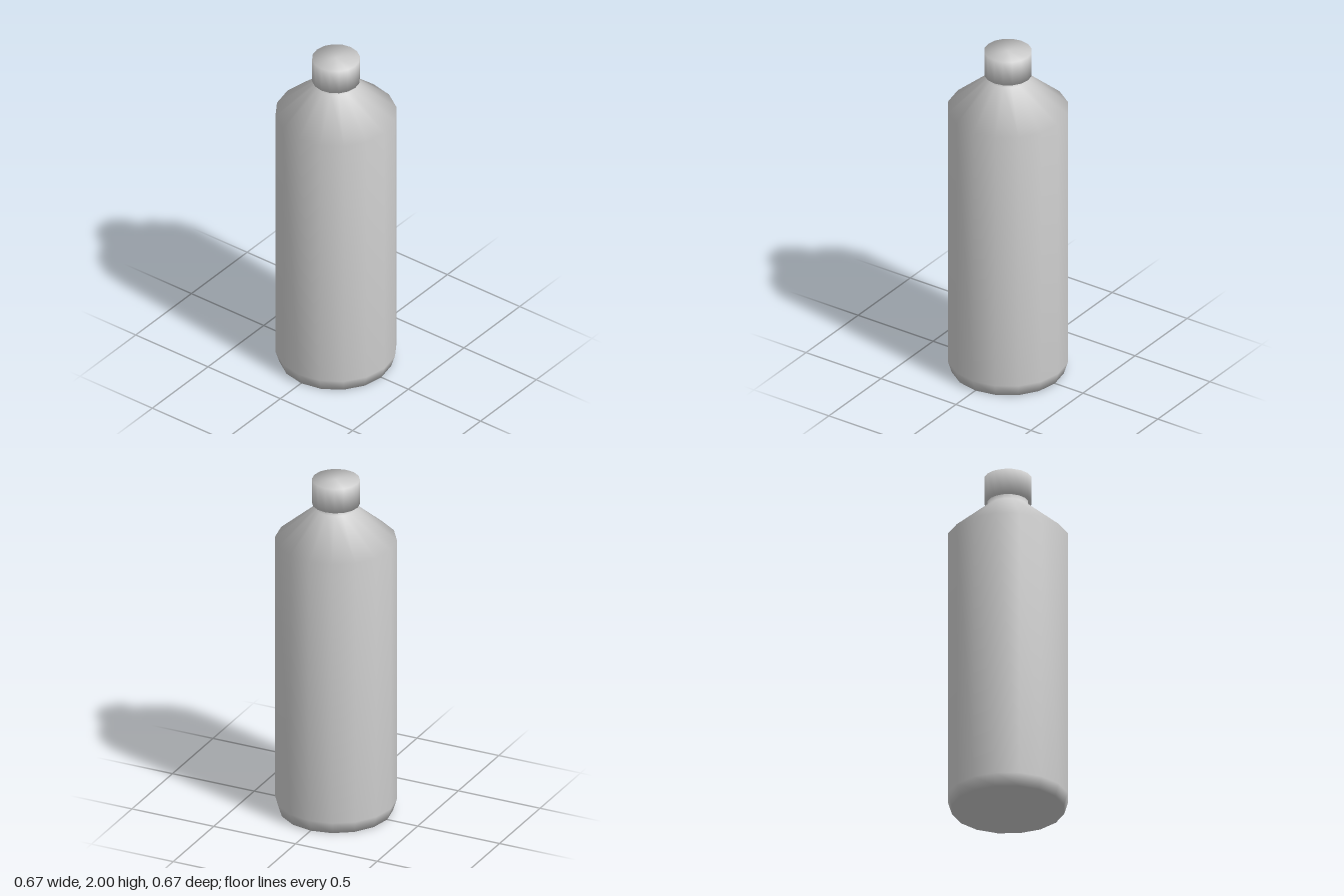
import * as THREE from 'three';

const SIDES = 16;

// Turns a bottom-to-top [radius, height] profile into a smooth-shaded mesh
function turned(name, profile) {
  const points = profile.map(([r, y]) => new THREE.Vector2(r, y));
  const mesh = new THREE.Mesh(
    new THREE.LatheGeometry(points, SIDES),
    new THREE.MeshStandardMaterial({ color: 0xcccccc })
  );
  mesh.name = name;
  return mesh;
}

export function createModel() {
  const bottle = new THREE.Group();
  bottle.name = 'bottle';

  // Body: flat base, bevelled foot, straight wall, sloping shoulder, short neck
  bottle.add(turned('body', [
    [0, 0], [0.313, 0], [0.335, 0.07], [0.335, 1.64],
    [0.113, 1.83], [0.113, 1.87],
  ]));

  // Cap: closed cylinder that overhangs the neck
  bottle.add(turned('cap', [
    [0, 1.855], [0.132, 1.855], [0.132, 2], [0, 2],
  ]));

  return bottle;
}
